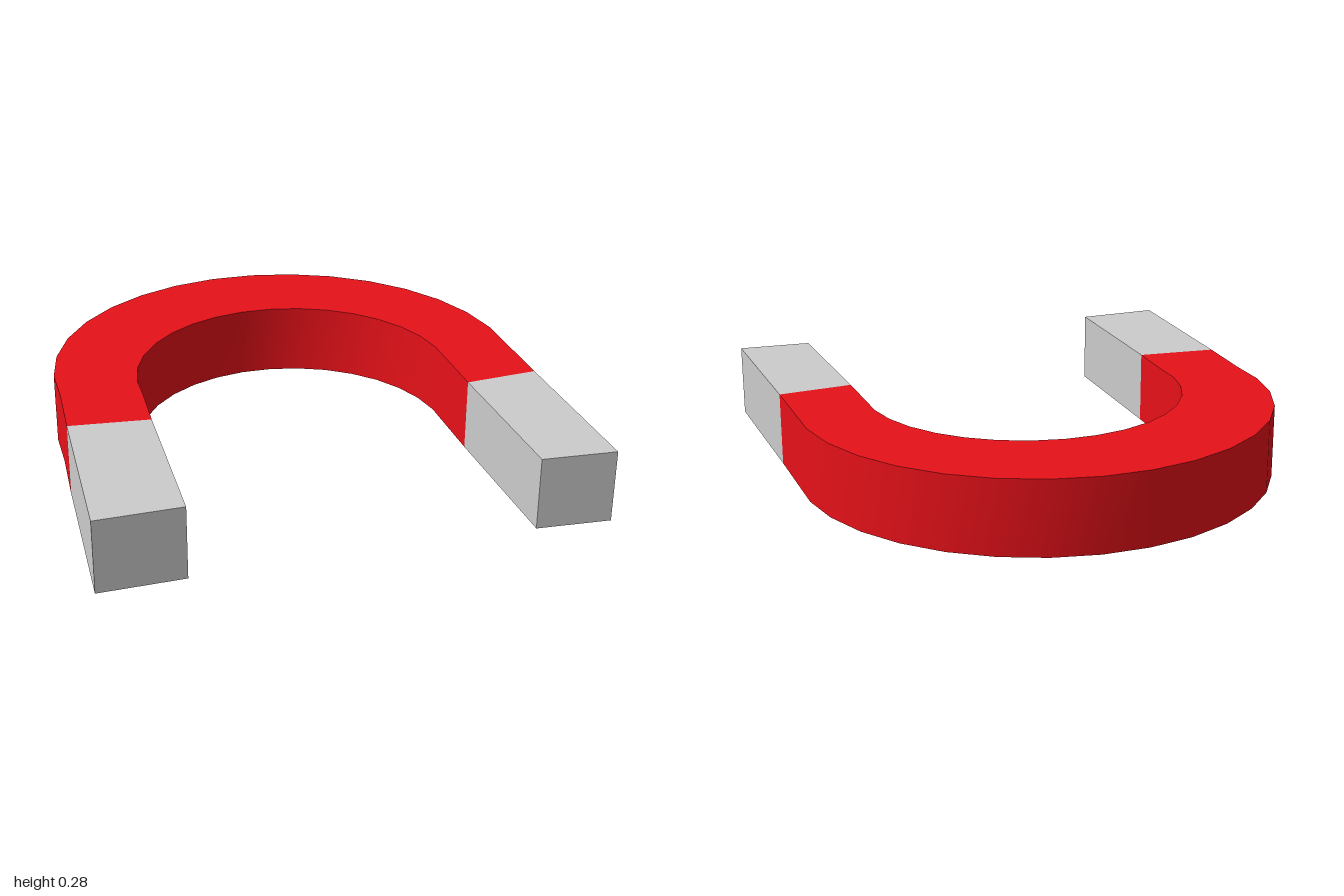
import * as THREE from 'three';
import { mergeGeometries } from 'three/addons/utils/BufferGeometryUtils.js';

const HEIGHT = 0.275;
const SEGMENTS = 16;

// Ribbon between two point rows, smooth along its length
function strip(a, b) {
  const positions = [];
  const index = [];
  a.forEach((p, i) => {
    positions.push(...p, ...b[i]);
    if (i < a.length - 1) {
      const k = i * 2;
      index.push(k, k + 1, k + 2, k + 1, k + 3, k + 2);
    }
  });
  const geometry = new THREE.BufferGeometry();
  geometry.setAttribute('position', new THREE.Float32BufferAttribute(positions, 3));
  geometry.setIndex(index);
  geometry.computeVertexNormals();
  return geometry;
}

// Rectangular bar swept along matching outer and inner [x, z] outlines
function bar(name, color, outer, inner, { capStart = false, capEnd = false } = {}) {
  const row = (outline, y) => outline.map(([x, z]) => [x, y, z]);
  const ot = row(outer, HEIGHT), it = row(inner, HEIGHT);
  const ob = row(outer, 0), ib = row(inner, 0);
  const faces = [strip(ot, it), strip(it, ib), strip(ib, ob), strip(ob, ot)];
  const e = outer.length - 1;
  if (capStart) faces.push(strip([ob[0], ot[0]], [ib[0], it[0]]));
  if (capEnd) faces.push(strip([ot[e], ob[e]], [it[e], ib[e]]));
  const mesh = new THREE.Mesh(mergeGeometries(faces), new THREE.MeshStandardMaterial({ color }));
  mesh.name = name;
  return mesh;
}

// Half circle from the right side over the back to the left side
function arc(radius, cx, cz) {
  return Array.from({ length: SEGMENTS + 1 }, (_, i) => {
    const t = (Math.PI * i) / SEGMENTS;
    return [cx - radius * Math.cos(t), cz - radius * Math.sin(t)];
  });
}

export function createModel() {
  const group = new THREE.Group();
  group.name = 'horseshoeMagnet';

  // Joints between the red bow and the bare poles
  const rightJoint = { outer: [-0.867, 0.14], inner: [-0.568, 0.196] };
  const leftJoint = { outer: [0.917, 0.32], inner: [0.635, 0.32] };

  // Painted bow with short straight ends
  group.add(bar('bow', 0xe61119,
    [rightJoint.outer, ...arc(0.89, 0.06, -0.11), leftJoint.outer],
    [rightJoint.inner, ...arc(0.6, 0.06, -0.012), leftJoint.inner]));

  // Bare poles, slightly splayed with skewed tips
  group.add(bar('rightPole', 0xcccccc,
    [[-0.955, 0.815], rightJoint.outer],
    [[-0.641, 0.835], rightJoint.inner], { capStart: true }));
  group.add(bar('leftPole', 0xcccccc,
    [leftJoint.outer, [0.872, 1.0]],
    [leftJoint.inner, [0.598, 0.957]], { capEnd: true }));

  return group;
}
